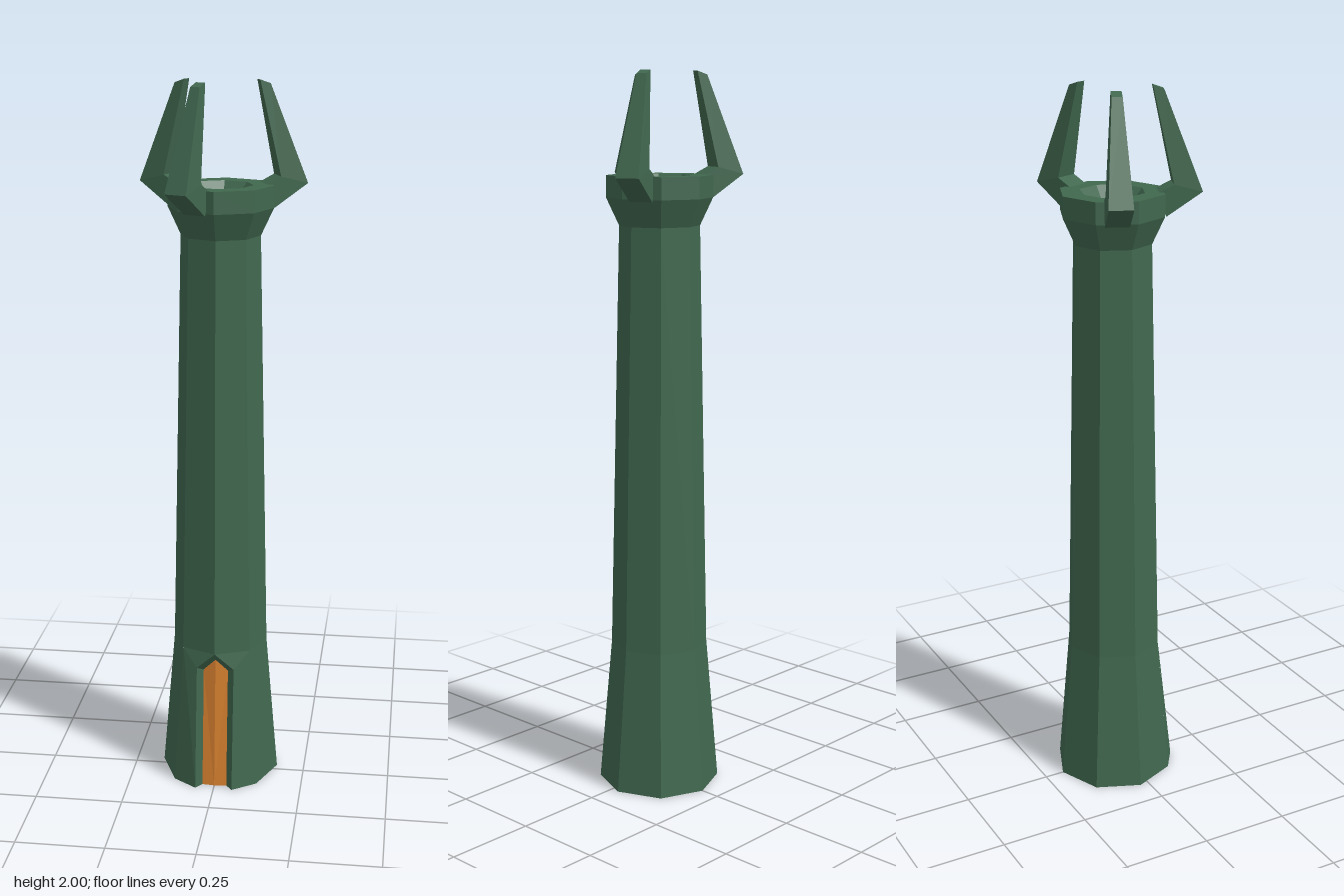
import * as THREE from 'three';

const green = new THREE.MeshStandardMaterial({ color: 0x41684f });
green.name = 'dark green stone';
const orange = new THREE.MeshStandardMaterial({ color: 0xd57f2f });
orange.name = 'orange door';

function flat(geometry) {
  const g = geometry.index ? geometry.toNonIndexed() : geometry;
  g.computeVertexNormals();
  return g;
}

function part(name, geometry, material) {
  const mesh = new THREE.Mesh(flat(geometry), material);
  mesh.name = name;
  return mesh;
}

// Flat triangles from corner triples
function fromTriangles(tris) {
  const g = new THREE.BufferGeometry();
  g.setAttribute('position', new THREE.Float32BufferAttribute(tris.flat(2), 3));
  return g;
}

// Adds the x-mirrored copy of each triangle, keeping it facing outward
function mirrored(tris) {
  const flip = ([x, y, z]) => [-x, y, z];
  return [...tris, ...tris.map(([a, b, c]) => [flip(a), flip(c), flip(b)])];
}

function lathe(profile, segments, start, length) {
  return new THREE.LatheGeometry(profile.map(([r, y]) => new THREE.Vector2(r, y)), segments, start, length);
}

// Claw: loops of four corners, from the collar out to the elbow and up to the tip
function clawGeometry() {
  const sections = [ // outer r, outer y, inner r, inner y, half width
    [0.14, 1.66, 0.11, 1.72, 0.0325],
    [0.2365, 1.725, 0.16, 1.745, 0.0325],
    [0.134, 1.99, 0.105, 2.0, 0.014],
  ];
  const loops = sections.map(([ro, yo, ri, yi, w]) => [[ro, yo, w], [ro, yo, -w], [ri, yi, -w], [ri, yi, w]]);
  const tris = [];
  for (let i = 0; i < loops.length - 1; i++) {
    for (let j = 0; j < 4; j++) {
      const k = (j + 1) % 4;
      const [a, b, c, d] = [loops[i][j], loops[i][k], loops[i + 1][k], loops[i + 1][j]];
      tris.push([a, b, c], [a, c, d]);
    }
  }
  const [a, b, c, d] = loops[2];
  tris.push([a, b, c], [a, c, d]);
  return fromTriangles(tris);
}

export function createModel() {
  const model = new THREE.Group();
  model.name = 'clawedTower';
  const tower = new THREE.Group();
  tower.name = 'tower';
  tower.position.z = -0.025;
  model.add(tower);

  // Shaft, flared collar and shallow bowl
  tower.add(part('shaftAndCollar', lathe([
    [0.135, 0.41], [0.11, 1.59], [0.145, 1.665], [0.145, 1.725],
    [0.09, 1.725], [0.06, 1.69], [0, 1.69],
  ], 8), green));

  // Six plain sides of the base, with its underside
  tower.add(part('base', lathe([[0, 0], [0.17, 0], [0.135, 0.41]], 6, Math.PI / 4, Math.PI * 1.5), green));

  // Front of the base: outer frame, recessed jambs and the doorway
  const O = [0, 0, 0], V0 = [0.1202, 0, 0.1202], V1 = [0.0955, 0.41, 0.0955];
  const A = [0.053, 0, 0.167], B = [0.053, 0.36, 0.123], C = [0, 0.41, 0.135];
  const a = [0.035, 0, 0.143], b = [0.035, 0.35, 0.108], c = [0, 0.385, 0.115], d = [0, 0, 0.147];
  tower.add(part('doorSurround', fromTriangles(mirrored([
    [A, V0, V1], [A, V1, B], [B, V1, C],
    [a, A, B], [a, B, b], [b, B, C], [b, C, c],
    [O, V0, A], [O, A, a], [O, a, d],
  ])), green));
  tower.add(part('door', fromTriangles(mirrored([[d, a, b], [d, b, c]])), orange));

  // Three claws on alternate faces of the collar
  [22.5, 157.5, -112.5].forEach((degrees, i) => {
    const claw = part('claw' + (i + 1), clawGeometry(), green);
    claw.rotation.y = THREE.MathUtils.degToRad(degrees);
    tower.add(claw);
  });

  return model;
}
